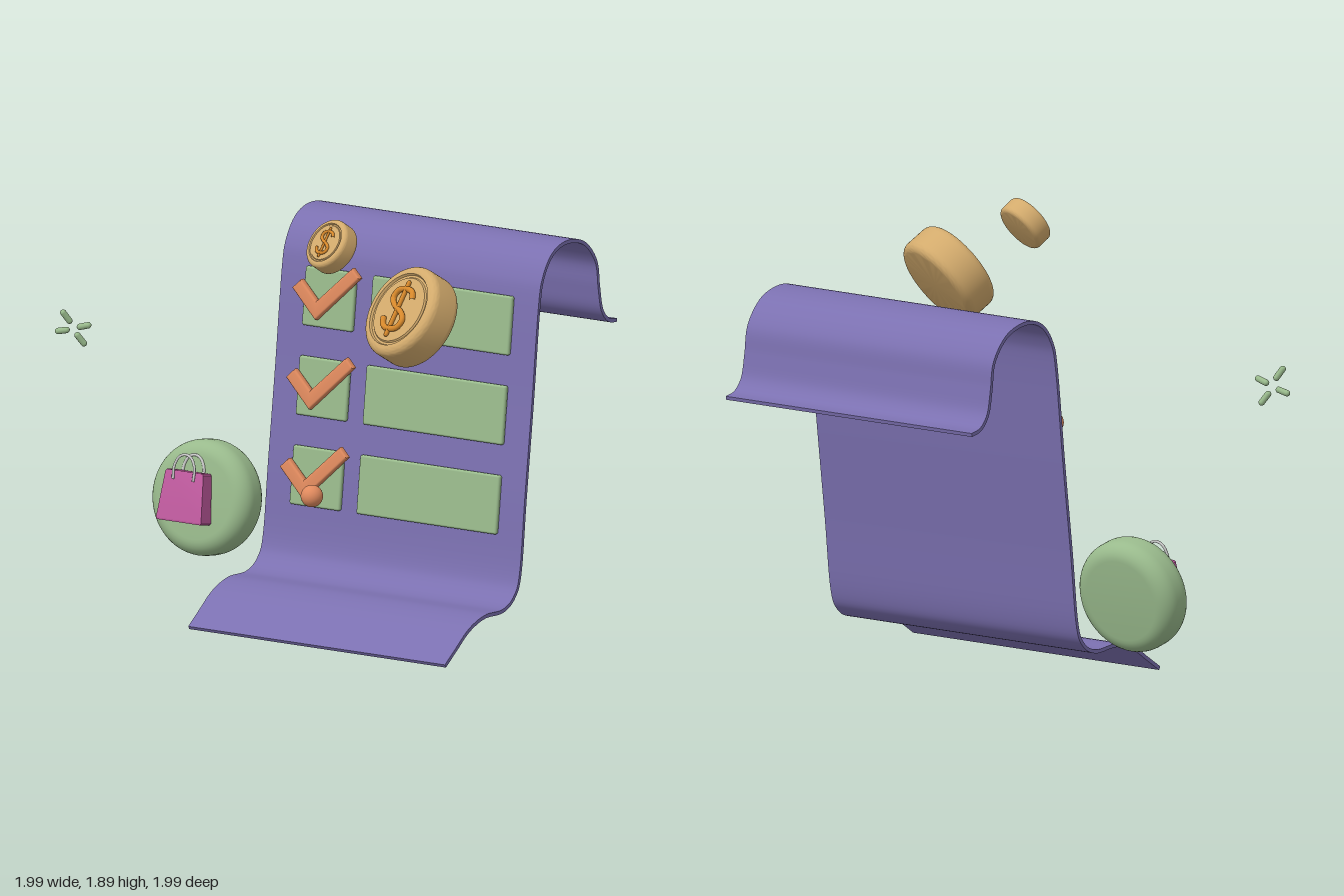
import * as THREE from 'three';
import { toCreasedNormals } from 'three/addons/utils/BufferGeometryUtils.js';
import { RoundedBoxGeometry } from 'three/addons/geometries/RoundedBoxGeometry.js';

const material = (color, extra = {}) => new THREE.MeshStandardMaterial({ color, ...extra });
const purple = material(0x7b70b0);
const green = material(0x99ba8c);
const orange = material(0xe08a5e);
const gold = material(0xd2aa6c);
const amber = material(0xd98a2c);
const pink = material(0xbf5a9e);
const grey = material(0xcccccc);
const v2 = ([x, y]) => new THREE.Vector2(x, y);
const v3 = (p) => new THREE.Vector3(...p);

function mesh(name, geometry, mat, position = [0, 0, 0]) {
  const m = new THREE.Mesh(geometry, mat);
  m.name = name;
  m.position.set(...position);
  return m;
}

function group(name, position, ...children) {
  const g = new THREE.Group();
  g.name = name;
  g.position.set(...position);
  if (children.length) g.add(...children);
  return g;
}

function tube(points, radius, segments = 40) {
  return new THREE.TubeGeometry(new THREE.CatmullRomCurve3(points.map(v3)), segments, radius, 8);
}

// Round slab facing +z with rounded edges; "face" adds profile points on the front
function puck(R, h, r, face = []) {
  const pts = [[0, -h]];
  for (const side of [-1, 1]) {
    for (let i = 0; i <= 8; i++) {
      const a = (side < 0 ? i / 8 - 1 : i / 8) * Math.PI / 2;
      pts.push([R - r + r * Math.cos(a), side * (h - r) + r * Math.sin(a)]);
    }
  }
  pts.push(...face);
  if (!face.length) pts.push([0, h]);
  const g = new THREE.LatheGeometry(pts.map(v2), 64);
  g.rotateX(Math.PI / 2);
  return toCreasedNormals(g, 0.6);
}

// Curling sheet: side profile (z, y) thickened and swept across x
function paperSheet() {
  const spine = new THREE.SplineCurve([
    [0.335, 0.01], [0.25, 0.065], [0.15, 0.127], [0.03, 0.16], [-0.11, 0.157], [-0.2, 0.2],
    [-0.247, 0.3], [-0.285, 0.6], [-0.34, 1.0], [-0.39, 1.4], [-0.425, 1.53], [-0.5, 1.615],
    [-0.61, 1.642], [-0.74, 1.61], [-0.83, 1.515], [-0.852, 1.4], [-0.875, 1.3], [-0.925, 1.245], [-0.99, 1.23],
  ].map(v2));
  const front = [], back = [];
  for (let i = 0; i <= 110; i++) {
    const p = spine.getPoint(i / 110), t = spine.getTangent(i / 110);
    const n = new THREE.Vector2(t.y, -t.x).multiplyScalar(0.008);
    front.push(p.clone().add(n));
    back.unshift(p.clone().sub(n));
  }
  const g = new THREE.ExtrudeGeometry(new THREE.Shape([...front, ...back]), { depth: 1.275, bevelEnabled: false });
  g.rotateY(-Math.PI / 2);
  g.translate(0.86, 0, 0);
  return toCreasedNormals(g, 0.7);
}

// Tick mark with softly bevelled edges
function tickGeometry() {
  const s = new THREE.Shape([
    [-0.04, -0.079], [0.149, 0.108], [0.124, 0.133], [-0.04, -0.026], [-0.124, 0.056], [-0.15, 0.03],
  ].map(v2));
  return toCreasedNormals(new THREE.ExtrudeGeometry(s, {
    depth: 0.02, bevelThickness: 0.008, bevelSize: 0.01, bevelSegments: 3,
  }), 0.6);
}

// Three rows of tick box, tick and text field, leaning with the sheet
function checklist() {
  const list = group('checklist', [0, 0.94, -0.323]);
  list.rotation.x = -0.128;
  const tick = tickGeometry();
  const square = new RoundedBoxGeometry(0.25, 0.25, 0.026, 3, 0.01);
  const wide = new RoundedBoxGeometry(0.695, 0.25, 0.026, 3, 0.01);
  [-1, 0, 1].forEach((row) => {
    const y = row * 0.378;
    list.add(
      mesh('tickBox', square, green, [-0.16, y, 0.012]),
      mesh('rowField', wide, green, [0.395, y, 0.012]),
      mesh('tick', tick, orange, [-0.16, y, 0.03]),
    );
  });
  return list;
}

// Coin with raised rim and a raised currency sign, turned towards a normal
function coin(name, position, normal, scale, spin) {
  const body = puck(0.207, 0.08, 0.035, [[0.165, 0.08], [0.16, 0.07], [0.15, 0.07], [0.145, 0.077], [0, 0.077]]);
  const half = [[0.066, 0.048], [0.045, 0.082], [0, 0.092], [-0.045, 0.08], [-0.058, 0.045], [-0.035, 0.017]];
  const curve = [...half, [0, 0], ...half.map(([x, y]) => [-x, -y]).reverse()].map(([x, y]) => [x, y, 0.084]);
  const sign = group('currencySign', [0, 0, 0],
    mesh('signCurve', tube(curve, 0.013, 64), amber),
    mesh('signBar', new THREE.CapsuleGeometry(0.01, 0.24, 4, 8), amber, [0, 0, 0.086]));
  const c = group(name, position, mesh('coinBody', body, gold), sign);
  c.lookAt(v3(position).add(v3(normal)));
  c.rotateZ(spin);
  c.scale.setScalar(scale);
  return c;
}

// Hollow tapered bag with two loop handles
function shoppingBag() {
  const k = Math.SQRT2;
  const shell = new THREE.LatheGeometry([
    [0, -0.107], [0.106 * k, -0.107], [0.112 * k, -0.1], [0.094 * k, 0.1], [0.088 * k, 0.107],
    [0.076 * k, 0.107], [0.076 * k, 0.06], [0, 0.06],
  ].map(v2), 4);
  shell.rotateY(Math.PI / 4);
  shell.scale(1, 1, 0.35);
  const bag = group('shoppingBag', [-0.667, 0.465, -0.035],
    mesh('bagBody', toCreasedNormals(shell, 0.3), pink));
  bag.rotation.x = -0.2;
  const loop = [[-0.05, 0.07, 0], [-0.05, 0.125, 0], [-0.03, 0.165, 0], [0, 0.177, 0],
    [0.03, 0.165, 0], [0.05, 0.125, 0], [0.05, 0.07, 0]];
  for (const z of [-0.038, 0.038]) bag.add(mesh('bagHandle', tube(loop, 0.006), grey, [0, 0, z]));
  return bag;
}

// Small rod with round ends between two points
function rod(a, b, radius) {
  const from = v3(a), dir = v3(b).sub(from), length = dir.length();
  const m = mesh('sparkleRod', new THREE.CapsuleGeometry(radius, length - 2 * radius, 5, 12), green);
  m.position.copy(from).addScaledVector(dir, 0.5);
  m.quaternion.setFromUnitVectors(new THREE.Vector3(0, 1, 0), dir.normalize());
  return m;
}

export function createModel() {
  const model = group('shoppingList', [0, 0, 0]);
  model.add(mesh('paperSheet', paperSheet(), purple), checklist());

  // Floating coins
  model.add(
    coin('largeCoin', [0.775, 1.525, 0.465], [-0.31, 0.55, 0.77], 1, 0.08),
    coin('smallCoin', [0.395, 1.783, 0.49], [-0.27, 0.57, 0.77], 0.54, 0.08),
  );

  // Round badge behind the bag
  const badge = mesh('badge', puck(0.245, 0.09, 0.07), green, [-0.645, 0.44, -0.165]);
  badge.rotation.x = -0.17;
  model.add(badge, shoppingBag());

  // Sparkle of four rods
  model.add(group('sparkle', [0, 0, 0],
    rod([-0.945, 1.338, 0.495], [-0.915, 1.28, 0.465], 0.0135),
    rod([-0.875, 1.178, 0.415], [-0.908, 1.235, 0.443], 0.0135),
    rod([-1.0, 1.232, 0.456], [-0.932, 1.248, 0.454], 0.0135),
    rod([-0.892, 1.263, 0.454], [-0.824, 1.283, 0.456], 0.0135)));

  model.add(mesh('ball', new THREE.SphereGeometry(0.047, 32, 20), orange, [0.59, 0.83, 0.947]));
  return model;
}
